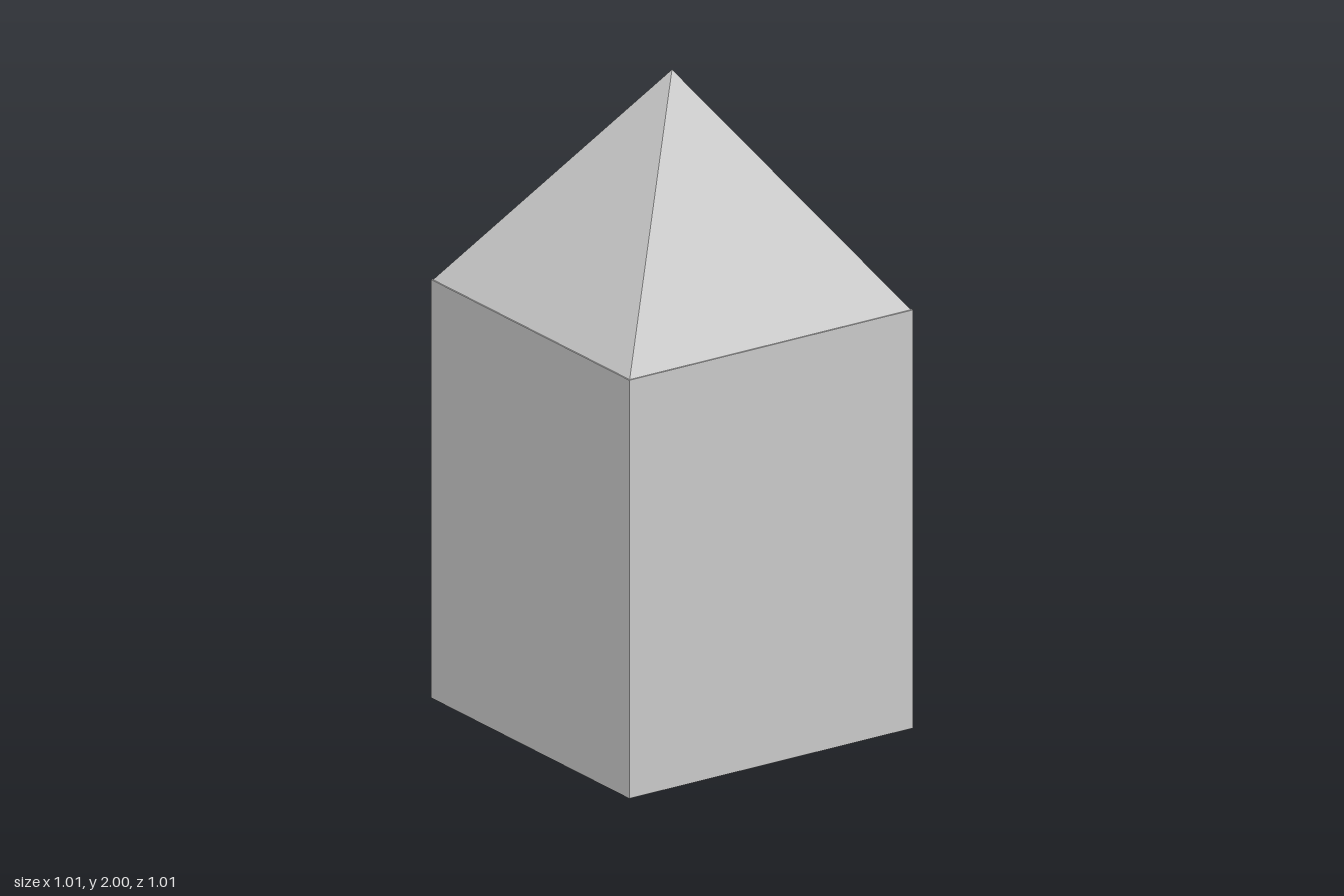
import * as THREE from 'three';

const WALL_HEIGHT = 1.3;
const TOTAL_HEIGHT = 2;
const WALL_WIDTH = 1.006;
const ROOF_WIDTH = 0.997;

export function createModel() {
  const model = new THREE.Group();
  model.name = 'tower';
  const material = new THREE.MeshStandardMaterial({ color: 0xcccccc, flatShading: true });

  // Square body
  const body = new THREE.Mesh(new THREE.BoxGeometry(WALL_WIDTH, WALL_HEIGHT, WALL_WIDTH), material);
  body.name = 'body';
  body.position.y = WALL_HEIGHT / 2;

  // Four-sided pyramid roof, set in slightly from the body's edge
  const roofHeight = TOTAL_HEIGHT - WALL_HEIGHT;
  const roofGeometry = new THREE.ConeGeometry(ROOF_WIDTH / Math.SQRT2, roofHeight, 4, 1, true);
  roofGeometry.rotateY(Math.PI / 4);
  const roof = new THREE.Mesh(roofGeometry, material);
  roof.name = 'roof';
  roof.position.y = WALL_HEIGHT + roofHeight / 2;

  model.add(body, roof);
  return model;
}
